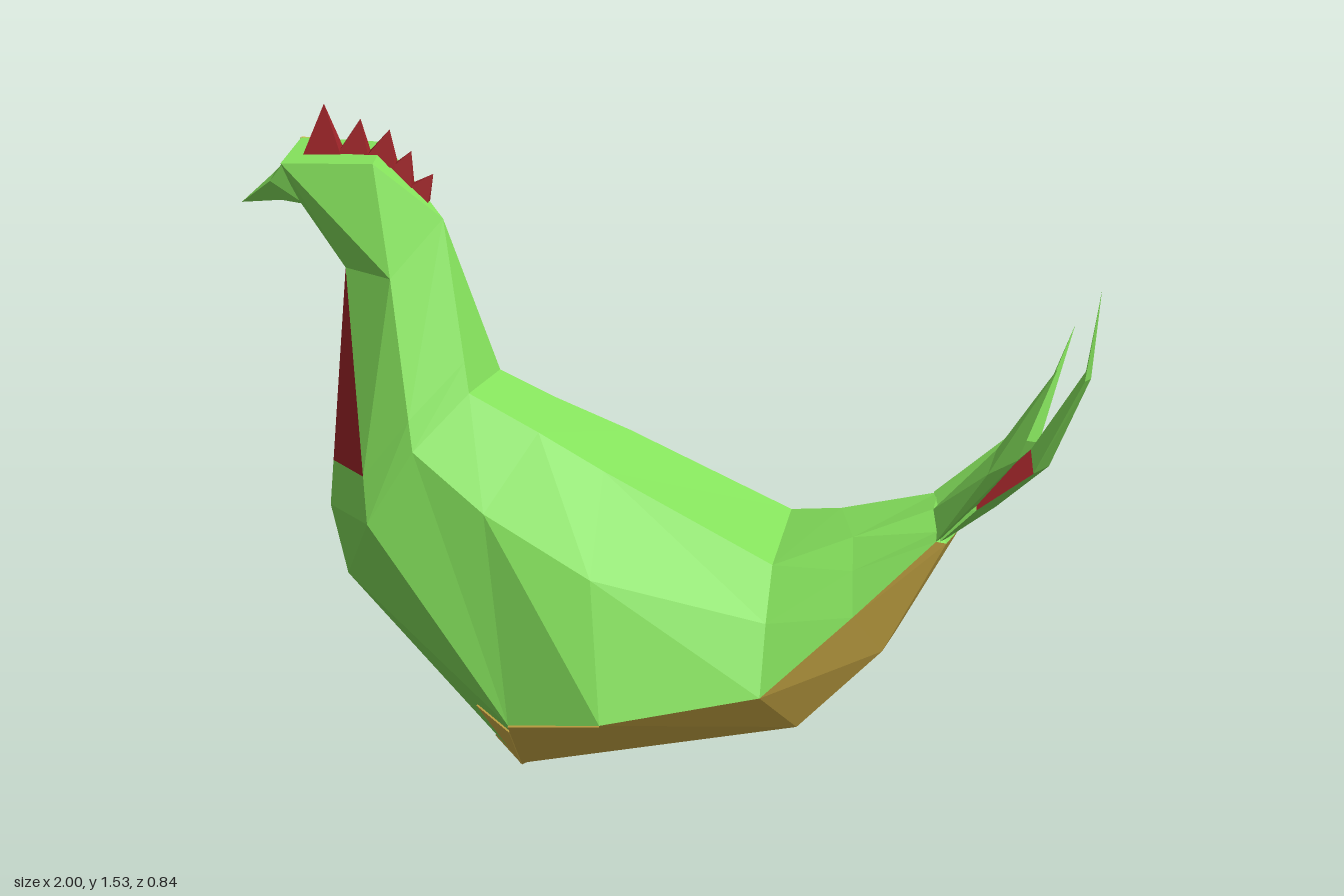
import * as THREE from 'three';
import { ConvexGeometry } from 'three/addons/geometries/ConvexGeometry.js';

const V = (p) => new THREE.Vector3(...p);
const mix = (a, b, t) => a.map((v, k) => v + (b[k] - v) * t);
const hull = (points) => new ConvexGeometry(points.map(V));

// Skins rings of points into a faceted closed solid; pick(i, j) gives the colour index per quad
function loft(rings, pick) {
  const buckets = [[], [], []];
  const add = (m, a, b, c) => {
    const area = V(b).sub(V(a)).cross(V(c).sub(V(a))).length();
    if (area > 1e-6) buckets[m].push(...a, ...b, ...c);
  };
  const n = rings[0].length;
  for (let i = 0; i < rings.length - 1; i++) {
    for (let j = 0; j < n; j++) {
      const k = (j + 1) % n, m = pick(i, j);
      const a = rings[i][j], b = rings[i][k], c = rings[i + 1][k], d = rings[i + 1][j];
      if (j < 4) {
        add(m, a, b, c);
        add(m, a, c, d);
      } else {
        add(m, a, b, d);
        add(m, b, c, d);
      }
    }
  }
  const first = rings[0], last = rings[rings.length - 1];
  for (let j = 1; j < n - 1; j++) {
    add(0, first[0], first[j + 1], first[j]);
    add(0, last[0], last[j], last[j + 1]);
  }
  const g = new THREE.BufferGeometry();
  g.setAttribute('position', new THREE.Float32BufferAttribute(buckets.flat(), 3));
  let start = 0;
  buckets.forEach((list, m) => {
    if (list.length) g.addGroup(start, list.length / 3, m);
    start += list.length / 3;
  });
  g.computeVertexNormals();
  return g;
}

export function createModel() {
  const model = new THREE.Group();
  const green = new THREE.MeshStandardMaterial({ name: 'green', color: 0x85e25c });
  const brown = new THREE.MeshStandardMaterial({ name: 'brown', color: 0xd6b44a });
  const red = new THREE.MeshStandardMaterial({ name: 'red', color: 0xa02529 });
  const palette = [green, brown, red];
  const add = (name, geometry, material) => {
    const mesh = new THREE.Mesh(geometry, material);
    mesh.name = name;
    model.add(mesh);
    return mesh;
  };
  // Thin painted triangle, thickened both ways along its normal
  const plate = (name, points, material) => {
    const tri = points.map(V);
    const n = new THREE.Triangle(...tri).getNormal(new THREE.Vector3()).multiplyScalar(0.004);
    const both = tri.flatMap((p) => [p.clone().add(n), p.clone().sub(n)]);
    add(name, new ConvexGeometry(both), material);
  };

  // Rings run from the back down the near flank, under the keel and up the far flank.
  // The sixth point is the colour seam of the far side, merged with the flank at the front.
  const nape = [-0.54, 1.28, -0.01], throatL = [-0.755, 1.165, 0.03], throatR = [-0.77, 1.17, -0.1];
  const jawL = [-0.64, 1.17, 0.11], jawR = [-0.64, 1.17, -0.14];
  const neck = [nape, jawL, throatL, throatL, throatR, throatR, throatR, jawR, nape];
  const sideChest = [-0.71, 0.6, -0.2], sideBreast = [-0.5, 0.36, -0.29], sideBelly = [-0.15, 0.25, -0.42];
  const chest = [
    [-0.46, 0.91, 0.11], [-0.57, 0.8, 0.22], [-0.67, 0.63, 0.24], [-0.775, 0.63, 0.11],
    [-0.795, 0.63, -0.08], sideChest, sideChest, [-0.59, 0.82, -0.22], [-0.42, 0.91, -0.07]];
  const breast = [
    [-0.3, 0.83, 0.12], [-0.4, 0.68, 0.27], [-0.33, 0.21, 0.35], [-0.74, 0.46, 0.08],
    [-0.75, 0.46, -0.07], sideBreast, sideBreast, [-0.35, 0.66, -0.29], [-0.3, 0.85, -0.08]];
  const belly = [
    [-0.15, 0.75, 0.13], [-0.15, 0.55, 0.31], [-0.11, 0.245, 0.42], [-0.36, 0, -0.015],
    [-0.31, 0.07, -0.23], sideBelly, sideBelly, [-0.07, 0.5, -0.35], [-0.13, 0.77, -0.11]];
  const rump = [
    [0.24, 0.56, 0.16], [0.24, 0.45, 0.25], [0.24, 0.3, 0.33], [0.3, 0.19, 0.19],
    [0.3, 0.19, -0.06], [0.3, 0.22, -0.1], [0.27, 0.3, -0.22], [0.27, 0.46, -0.21], [0.23, 0.59, -0.15]];
  const stern = [
    [0.42, 0.63, 0.14], [0.43, 0.57, 0.2], [0.44, 0.48, 0.26], [0.49, 0.37, 0.16],
    [0.49, 0.36, 0], [0.43, 0.45, -0.08], [0.4, 0.48, -0.11], [0.38, 0.58, -0.12], [0.36, 0.63, -0.06]];
  const root = [
    [0.6, 0.7, 0.12], [0.62, 0.67, 0.19], [0.62, 0.65, 0.2], [0.64, 0.64, 0.18],
    [0.64, 0.62, 0.02], [0.61, 0.65, -0.01], [0.61, 0.66, 0], [0.6, 0.68, 0], [0.59, 0.7, 0]];
  // Level lower edge of the red bib
  const bib = neck.map((p, k) =>
    mix(p, chest[k], chest[k][1] < 0.7 ? (p[1] - 0.73) / (p[1] - chest[k][1]) : 0.82));

  // Red bib on the throat, brown underside
  const bodyColour = (i, j) => {
    if (i === 0 && j >= 2 && j <= 4) return 2;
    return i >= 4 && j >= 2 && j <= 4 ? 1 : 0;
  };
  add('body', loft([neck, bib, chest, breast, belly, rump, stern, root], bodyColour), palette);

  // Where the brown underside creeps round onto the breast, with a red fleck
  const keel = belly[3], keelSide = belly[4];
  const edge = mix(keelSide, keel, 0.3);
  plate('bellyFront', [breast[2], belly[2], keel], brown);
  plate('breastPatch', [mix(breast[2], keel, 0.15),
    mix(breast[2], mix(breast[3], keel, 0.6), 0.55), keel], brown);
  plate('keelPatch', [edge, keel, mix(keel, breast[3], 0.15)], brown);
  plate('keelFleck', [keelSide, edge, mix(keelSide, breast[3], 0.1)], red);

  // Head and hooked beak
  const browL = [-0.9, 1.41, 0.05], browR = [-0.88, 1.42, -0.11], crownR = [-0.69, 1.42, -0.11];
  const chin = [-0.88, 1.31, -0.03];
  add('head', hull([nape, jawL, jawR, throatL, throatR, chin, browL, browR,
    [-0.69, 1.42, 0.05], crownR]), green);
  const bill = [[-0.93, 1.355, -0.055], [-0.93, 1.355, 0.015], [-0.91, 1.3, -0.02]];
  add('beakBase', hull([[-0.9, 1.4, 0.02], [-0.89, 1.4, -0.08], [-0.86, 1.29, -0.03], ...bill]), green);
  add('beak', hull([...bill, [-1, 1.29, -0.02]]), green);

  // Brown cheek wrapped round the far side of the head
  const fan = [mix(browR, crownR, 0.4), mix(browR, jawR, 0.35), mix(browR, throatR, 0.5), chin];
  for (let k = 0; k < 3; k++) plate('cheek', [browR, fan[k], fan[k + 1]], brown);

  // Comb spikes: base x, base y, half width, height, backward lean
  const spikes = [
    [-0.815, 1.41, 0.045, 0.12, 0], [-0.745, 1.41, 0.038, 0.09, -0.15], [-0.685, 1.4, 0.037, 0.08, -0.25],
    [-0.645, 1.36, 0.036, 0.075, -0.4], [-0.605, 1.32, 0.034, 0.07, -0.6]];
  for (const [x, y, w, h, lean] of spikes) {
    const cone = new THREE.ConeGeometry(w * Math.SQRT2, h, 4).rotateY(Math.PI / 4)
      .translate(0, h / 2, 0).scale(1, 1, 0.55).toNonIndexed();
    cone.computeVertexNormals();
    const spike = add('combSpike', cone, red);
    spike.position.set(x, y, -0.03);
    spike.rotation.z = lean;
  }

  // Tail feathers: triangular rings running out to a point
  const feather = (name, rings, tip, pick = () => 0) =>
    add(name, loft([...rings, [tip, tip, tip]], pick), palette);
  feather('middleTailFeather', [
    [[0.6, 0.69, 0.12], [0.62, 0.64, 0.19], [0.64, 0.62, 0.02]],
    [[0.7, 0.735, 0.13], [0.71, 0.725, 0.185], [0.73, 0.69, 0.05]],
    [[0.81, 0.83, 0.05], [0.84, 0.82, 0.19], [0.86, 0.81, 0.1]],
    [[0.96, 1.07, 0.19], [0.965, 1.06, 0.235], [0.975, 1.06, 0.21]],
  ], [1, 1.27, 0.21], (i, j) => (i === 1 && j === 0 ? 2 : 0));
  feather('frontTailFeather', [
    [[0.6, 0.7, 0.12], [0.62, 0.65, 0.2], [0.66, 0.67, 0.14]],
    [[0.76, 0.88, 0.21], [0.75, 0.84, 0.27], [0.81, 0.86, 0.22]],
  ], [0.915, 1.11, 0.3]);
  feather('backTailFeather', [
    [[0.58, 0.7, 0], [0.63, 0.69, 0.17], [0.63, 0.62, 0.01]],
    [[0.8, 0.87, -0.07], [0.8, 0.85, 0.05], [0.82, 0.83, 0]],
  ], [0.87, 1.05, -0.19]);

  return model;
}
